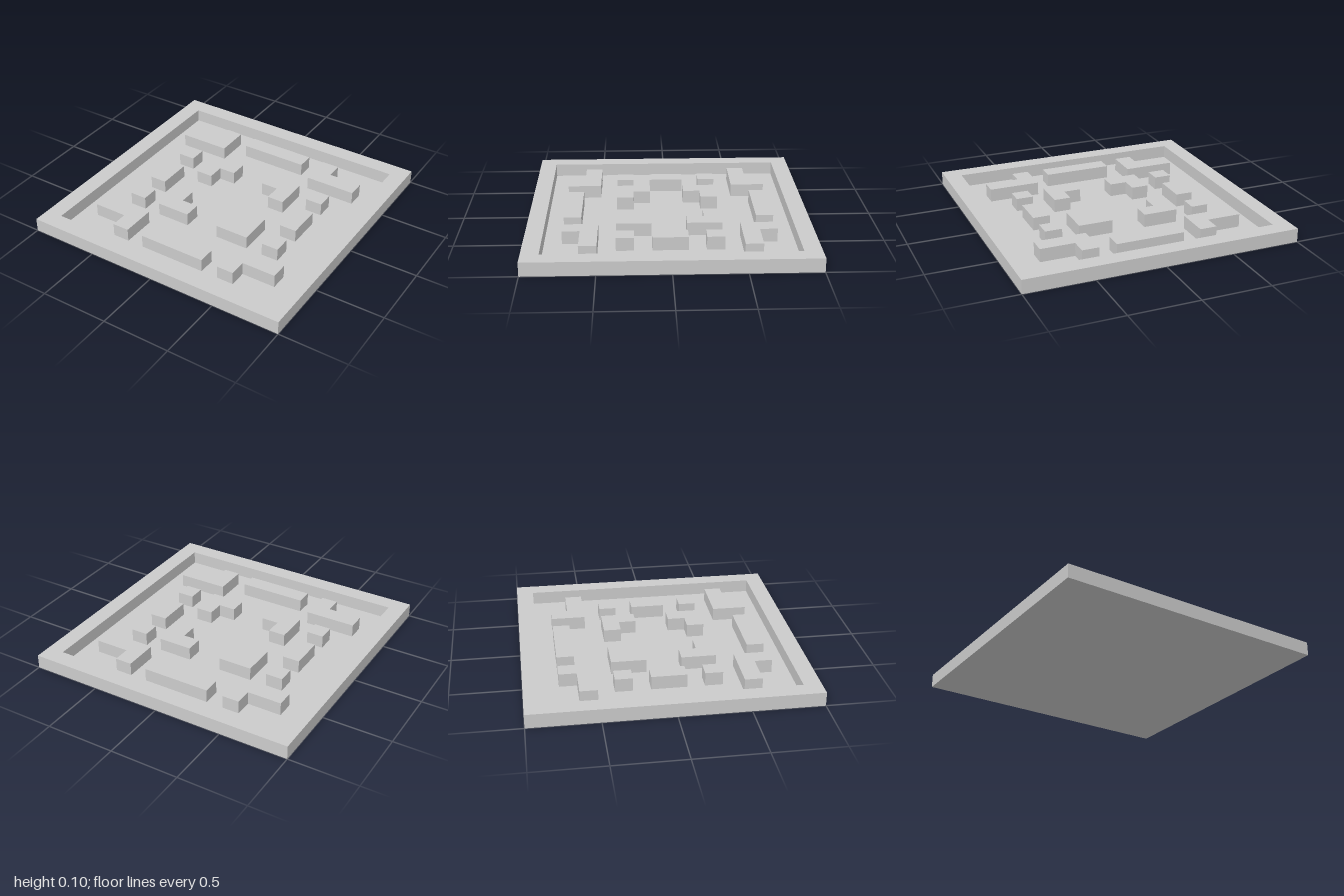
import * as THREE from 'three';

const CELL = 0.125;      // plan grid
const HEIGHT = 0.1;      // top of the rim and blocks
const FLOOR = 0.004;     // top of the thin base plate

const material = new THREE.MeshStandardMaterial({ color: 0xcccccc, flatShading: true });

// Outline in grid cells (x, z), optionally mirrored
const outline = (points, sx = 1, sz = 1) =>
  points.map(([x, z]) => new THREE.Vector2(x * CELL * sx, -z * CELL * sz));

const rect = (x0, z0, x1, z1) => [[x0, z0], [x1, z0], [x1, z1], [x0, z1]];

// Upright prism over a plan shape
function prism(name, shape, bottom, top) {
  const geometry = new THREE.ExtrudeGeometry(shape, { depth: top - bottom, bevelEnabled: false });
  geometry.rotateX(-Math.PI / 2);
  geometry.translate(0, bottom, 0);
  const mesh = new THREE.Mesh(geometry, material);
  mesh.name = name;
  return mesh;
}

export function createModel() {
  const model = new THREE.Group();
  model.name = 'mazeTray';

  // Square frame, full height; outline and hole run in opposite directions
  const frame = new THREE.Shape(outline(rect(-8, 8, 8, -8)));
  frame.holes.push(new THREE.Path(outline(rect(-7, -7, 7, 7))));
  model.add(prism('rim', frame, 0, HEIGHT));

  // Thin plate closing the frame
  model.add(prism('floor', new THREE.Shape(outline(rect(-7, -7, 7, 7))), 0, FLOOR));

  // Blocks repeated in all four corners
  const cornerBlocks = {
    outerCornerBlock: [[3, 4], [6, 4], [6, 5], [4, 5], [4, 6], [3, 6]],
    innerCornerBlock: [[1, 2], [2, 2], [2, 1], [3, 1], [3, 3], [1, 3]],
    smallBlock: rect(4, 2, 5, 3),
  };
  for (const [name, points] of Object.entries(cornerBlocks)) {
    for (const sx of [-1, 1]) for (const sz of [-1, 1]) {
      model.add(prism(name, new THREE.Shape(outline(points, sx, sz)), FLOOR, HEIGHT));
    }
  }

  // Straight bars at the middle of each side
  for (const s of [-1, 1]) {
    model.add(prism('longBar', new THREE.Shape(outline(rect(-2, 5, 2, 6), 1, s)), FLOOR, HEIGHT));
    model.add(prism('sideBar', new THREE.Shape(outline(rect(4, -1, 5, 1), s, 1)), FLOOR, HEIGHT));
  }
  return model;
}
